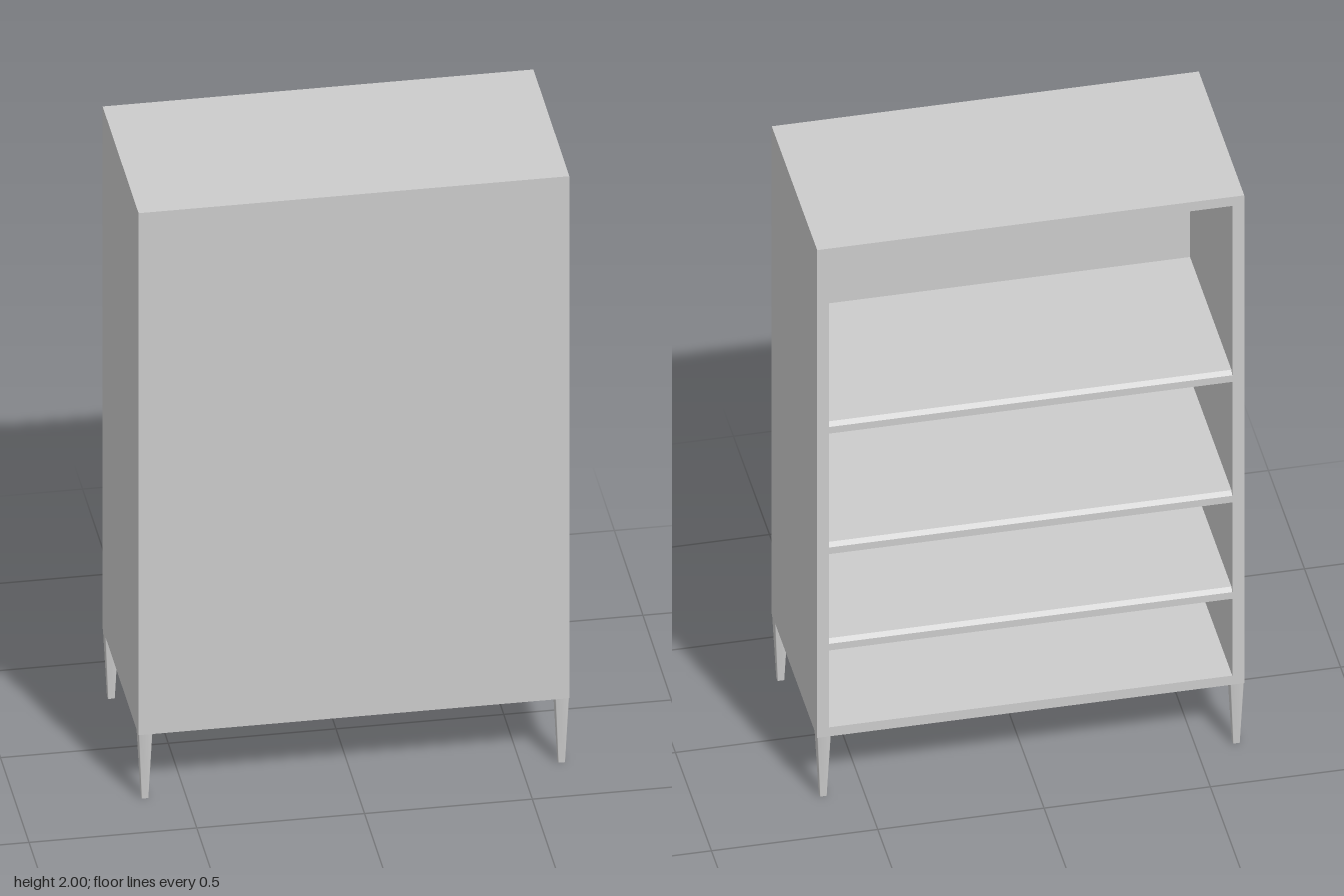
import * as THREE from 'three';
import { toCreasedNormals } from 'three/addons/utils/BufferGeometryUtils.js';

const W = 1.284, D = 0.63, BOTTOM = 0.223, TOP = 2;
const SIDE = 0.036, LID = 0.033, PANEL = 0.045;
const LEG = 0.042;

// Tapered leg: rounded square section, narrowing to half its width at the floor
function legGeometry() {
  const h = LEG / 2, r = 0.006, k = h - r;
  const section = new THREE.Shape();
  [[k, k], [-k, k], [-k, -k], [k, -k]].forEach(([x, y], i) =>
    section.absarc(x, y, r, i * Math.PI / 2, (i + 1) * Math.PI / 2));
  const geometry = new THREE.ExtrudeGeometry(section, { depth: BOTTOM, bevelEnabled: false, curveSegments: 3 });
  geometry.rotateX(-Math.PI / 2);
  const p = geometry.attributes.position;
  for (let i = 0; i < p.count; i++) {
    const s = THREE.MathUtils.lerp(0.5, 1, p.getY(i) / BOTTOM);
    p.setXYZ(i, p.getX(i) * s, p.getY(i), p.getZ(i) * s);
  }
  return toCreasedNormals(geometry, 0.7);
}

// Shelf: side profile with a chamfered upper rear edge, extruded across the width
function shelfGeometry() {
  const width = W - 2 * SIDE, depth = D - PANEL, thick = 0.036, chamfer = 0.012;
  const profile = new THREE.Shape([
    [0, -thick], [depth, -thick], [depth, -chamfer], [depth - chamfer, 0], [0, 0],
  ].map(([x, y]) => new THREE.Vector2(x, y)));
  const geometry = new THREE.ExtrudeGeometry(profile, { depth: width, bevelEnabled: false });
  return geometry.translate(0, 0, -width / 2).rotateY(Math.PI / 2);
}

export function createModel() {
  const group = new THREE.Group();
  const material = new THREE.MeshStandardMaterial({ color: 0xcccccc });

  const add = (name, geometry, x, y, z) => {
    const mesh = new THREE.Mesh(geometry, material);
    mesh.name = name;
    mesh.position.set(x, y, z);
    group.add(mesh);
  };

  // Case shell: a rectangular tube running front to back
  const rect = (path, x, y0, y1) =>
    path.moveTo(-x, y0).lineTo(x, y0).lineTo(x, y1).lineTo(-x, y1).closePath();
  const outline = rect(new THREE.Shape(), W / 2, BOTTOM, TOP);
  outline.holes.push(rect(new THREE.Path(), W / 2 - SIDE, BOTTOM + LID, TOP - LID));
  add('caseShell', new THREE.ExtrudeGeometry(outline, { depth: D, bevelEnabled: false }), 0, 0, -D / 2);

  // Closed panel on the front side
  add('frontPanel', new THREE.BoxGeometry(W - 2 * SIDE, TOP - BOTTOM - 2 * LID, PANEL),
    0, (TOP + BOTTOM) / 2, D / 2 - PANEL / 2);

  // Three shelves, spaced wider towards the top
  const shelf = shelfGeometry();
  [1.362, 0.923, 0.572].forEach((y, i) => add(`shelf${i + 1}`, shelf, 0, y, D / 2 - PANEL));

  // Legs at the four corners
  const leg = legGeometry();
  for (const [side, sx] of [['Left', 1], ['Right', -1]])
    for (const [end, sz] of [['front', 1], ['back', -1]])
      add(`${end}${side}Leg`, leg, sx * (W - LEG) / 2, 0, sz * (D - LEG) / 2);

  return group;
}
